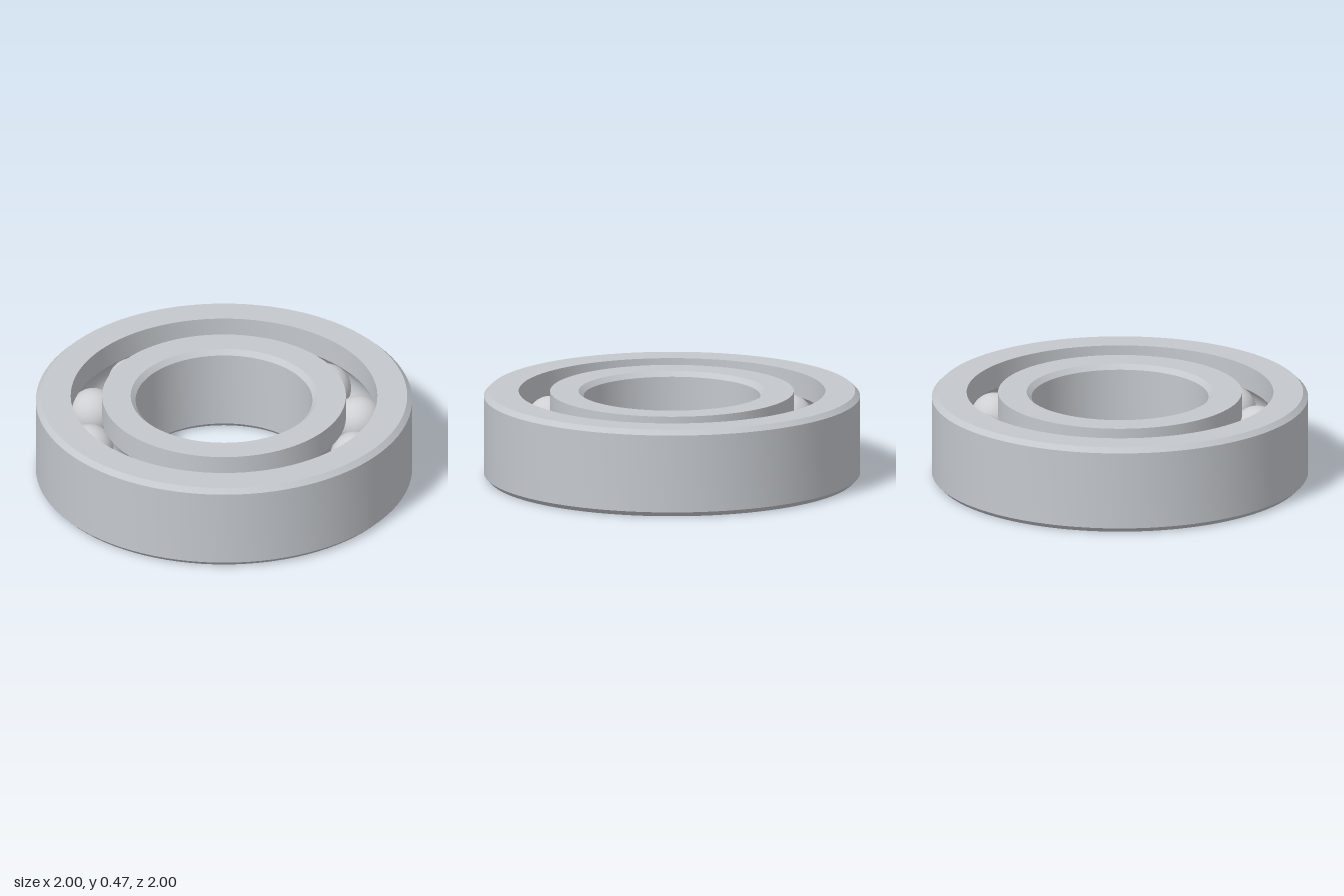
import * as THREE from 'three';
import { toCreasedNormals } from 'three/addons/utils/BufferGeometryUtils.js';

const HEIGHT = 0.47, MID = HEIGHT / 2, CHAMFER = 0.026;
const BALL_COUNT = 12, BALL_RADIUS = 0.13;
const OUTER = 1, OUTER_LIP = 0.815, INNER_LIP = 0.648, BORE = 0.47;
const PITCH = (OUTER_LIP + INNER_LIP) / 2;

// Circular raceway section, hollowed into the ring on the given side of the pitch circle
function groove(lip, side) {
  const r = BALL_RADIUS + 0.002;
  const half = Math.acos(Math.abs(lip - PITCH) / r);
  const points = [];
  for (let i = 0; i <= 12; i++) {
    const a = half * (1 - i / 6) * side; // outer ring runs downwards, inner ring upwards
    points.push([PITCH + side * r * Math.cos(a), MID + r * Math.sin(a)]);
  }
  return points;
}

function ring(name, profile, material) {
  const points = [...profile, profile[0]].map(([x, y]) => new THREE.Vector2(x, y));
  const geometry = toCreasedNormals(new THREE.LatheGeometry(points, 96), 0.5);
  const mesh = new THREE.Mesh(geometry, material);
  mesh.name = name;
  return mesh;
}

export function createModel() {
  const model = new THREE.Group();
  model.name = 'ballBearing';
  const steel = new THREE.MeshStandardMaterial({ color: 0xc4c8cd });
  steel.name = 'ring steel';
  const polished = new THREE.MeshStandardMaterial({ color: 0xcdcfd2 });
  polished.name = 'ball steel';

  // Outer ring: chamfered outside, raceway inside
  model.add(ring('outerRing', [
    [OUTER_LIP, 0], [OUTER - CHAMFER, 0], [OUTER, CHAMFER],
    [OUTER, HEIGHT - CHAMFER], [OUTER - CHAMFER, HEIGHT], [OUTER_LIP, HEIGHT],
    ...groove(OUTER_LIP, 1),
  ], steel));

  // Inner ring: raceway outside, chamfered bore
  model.add(ring('innerRing', [
    [INNER_LIP, 0], ...groove(INNER_LIP, -1), [INNER_LIP, HEIGHT],
    [BORE + CHAMFER, HEIGHT], [BORE, HEIGHT - CHAMFER],
    [BORE, CHAMFER], [BORE + CHAMFER, 0],
  ], steel));

  // Balls evenly spaced on the pitch circle
  const balls = new THREE.Group();
  balls.name = 'balls';
  const ballGeometry = new THREE.SphereGeometry(BALL_RADIUS, 40, 24);
  for (let i = 0; i < BALL_COUNT; i++) {
    const a = (i / BALL_COUNT) * Math.PI * 2;
    const ball = new THREE.Mesh(ballGeometry, polished);
    ball.name = 'ball';
    ball.position.set(PITCH * Math.cos(a), MID, PITCH * Math.sin(a));
    balls.add(ball);
  }
  model.add(balls);
  return model;
}
